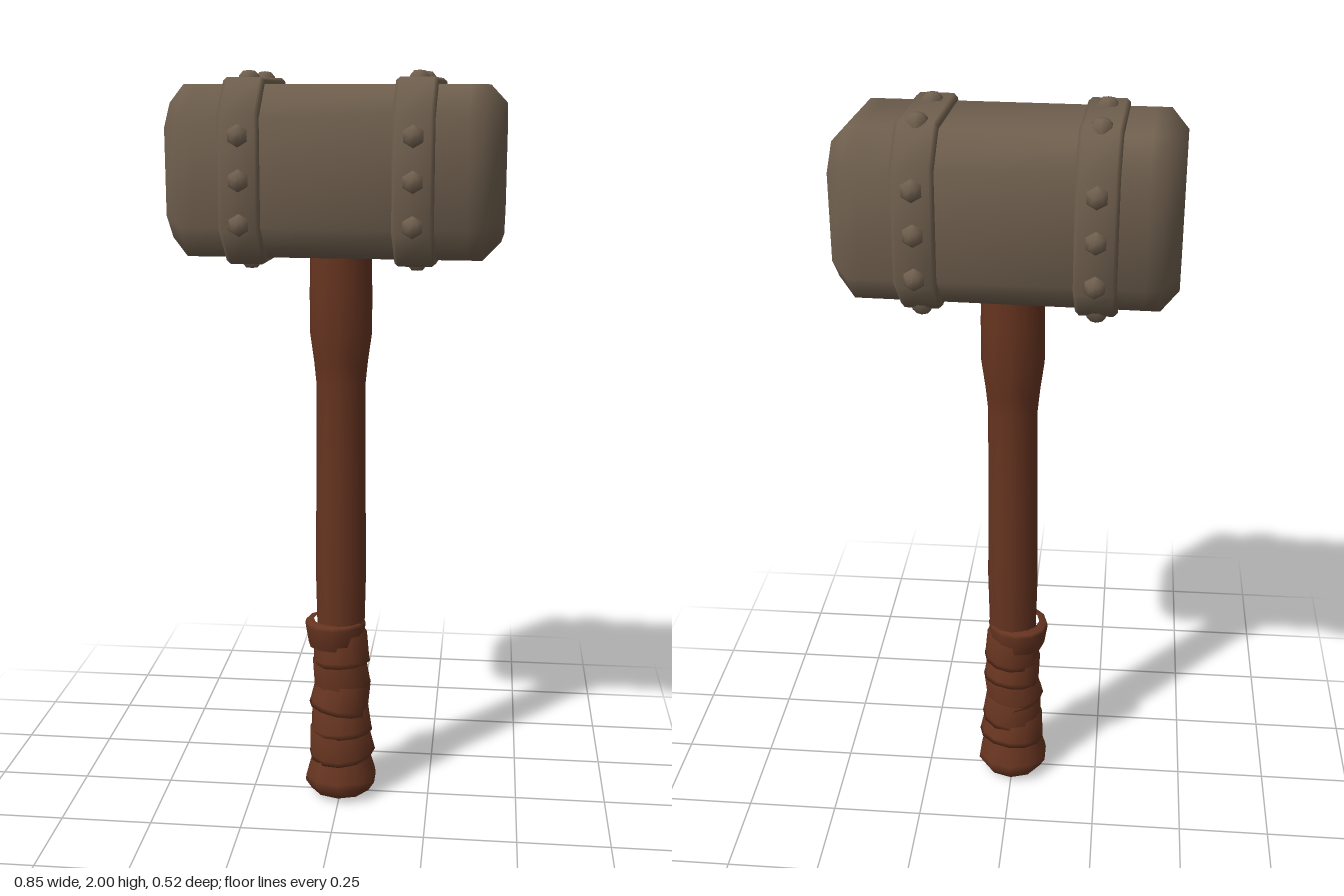
import * as THREE from 'three';

const stone = new THREE.MeshStandardMaterial({ color: 0x6f5f4e });
stone.name = 'greyBrownHead';
const wood = new THREE.MeshStandardMaterial({ color: 0x663420 });
wood.name = 'redBrownHandle';

// Chamfered rectangle in the y-z plane as eight points
function octagon(x, halfY, halfZ, cut) {
  const a = halfY - cut, b = halfZ - cut;
  return [[halfY, -b], [halfY, b], [a, halfZ], [-a, halfZ], [-halfY, b], [-halfY, -b], [-a, -halfZ], [a, -halfZ]]
    .map(([y, z]) => new THREE.Vector3(x, y, z));
}

// Joins cross-sections running along +x, closing both ends
function loft(loops) {
  const n = loops[0].length, last = (loops.length - 1) * n, index = [];
  for (let i = 0; i < loops.length - 1; i++) {
    for (let j = 0; j < n; j++) {
      const a = i * n + j, b = i * n + (j + 1) % n;
      index.push(a, b, a + n, b, b + n, a + n);
    }
  }
  for (let j = 1; j < n - 1; j++) {
    index.push(0, j + 1, j, last, last + j, last + j + 1);
  }
  const g = new THREE.BufferGeometry().setFromPoints(loops.flat());
  g.setIndex(index);
  g.computeVertexNormals();
  return g;
}

function add(parent, name, geometry, material) {
  const mesh = new THREE.Mesh(geometry, material);
  mesh.name = name;
  parent.add(mesh);
  return mesh;
}

function lathe(points, sides) {
  return new THREE.LatheGeometry(points.map(([r, y]) => new THREE.Vector2(r, y)), sides);
}

export function createModel() {
  const model = new THREE.Group();
  model.name = 'mallet';

  // Head, turned slightly on the handle
  const head = new THREE.Group();
  head.name = 'head';
  head.position.y = 1.762;
  head.rotation.y = -0.04;
  model.add(head);
  add(head, 'headBlock', loft([
    octagon(-0.42, 0.14, 0.14, 0.05),
    octagon(-0.42, 0.168, 0.17, 0.06),
    octagon(-0.376, 0.213, 0.218, 0.08),
    octagon(-0.34, 0.213, 0.218, 0.08),
    octagon(0.34, 0.213, 0.218, 0.08),
    octagon(0.376, 0.213, 0.218, 0.08),
    octagon(0.42, 0.168, 0.17, 0.06),
    octagon(0.42, 0.14, 0.14, 0.05),
  ]), stone);

  // Bands with bevelled edges, and their rivets
  const rivetShape = lathe([[0.029, -0.008], [0.027, 0.008], [0.016, 0.02], [0, 0.022]], 6);
  for (const x of [-0.222, 0.208]) {
    add(head, 'band', loft([
      octagon(x - 0.052, 0.205, 0.21, 0.08),
      octagon(x - 0.052, 0.222, 0.222, 0.083),
      octagon(x - 0.042, 0.23, 0.229, 0.085),
      octagon(x + 0.042, 0.23, 0.229, 0.085),
      octagon(x + 0.052, 0.222, 0.222, 0.083),
      octagon(x + 0.052, 0.205, 0.21, 0.08),
    ]), stone);
    for (const side of [1, -1]) {
      for (const y of [-0.125, -0.017, 0.091]) {
        const rivet = add(head, 'sideRivet', rivetShape, stone);
        rivet.position.set(x, y, side * 0.228);
        rivet.rotation.x = side * Math.PI / 2;
      }
      for (const z of [-0.131, 0.074]) {
        const rivet = add(head, 'capRivet', rivetShape, stone);
        rivet.position.set(x, side * 0.226, z);
        if (side < 0) rivet.rotation.x = Math.PI;
      }
    }
  }

  // Handle shaft, swelling below the head
  add(model, 'shaft', lathe([
    [0.06, 0.1], [0.066, 0.5], [0.07, 0.68], [0.067, 0.95], [0.066, 1.2],
    [0.072, 1.26], [0.083, 1.34], [0.083, 1.45], [0.08, 1.58],
  ], 12), wood);

  // Pommel
  add(model, 'pommel', lathe([
    [0, 0.008], [0.06, 0.01], [0.085, 0.022], [0.103, 0.05], [0.1, 0.068], [0.083, 0.125], [0.07, 0.15],
  ], 10), wood);

  // Grip of overlapping, tilted leather turns
  const turns = [[0.17, 0.083, 0.094], [0.235, 0.079, 0.087], [0.305, 0.077, 0.084], [0.375, 0.075, 0.081], [0.445, 0.076, 0.08]];
  turns.forEach(([y, top, bottom], i) => {
    const turn = add(model, 'gripTurn', lathe([
      [0.062, -0.042], [bottom, -0.04], [bottom - 0.002, -0.026], [top, 0.045], [0.06, 0.05],
    ], 12), wood);
    turn.position.y = y;
    turn.rotation.set(0.14 * Math.cos(i * 2.1), 0, 0.17 * Math.sin(i * 2.1 + 0.6));
  });
  add(model, 'gripCollar', lathe([
    [0.062, 0.455], [0.077, 0.46], [0.085, 0.52], [0.081, 0.53], [0.06, 0.532],
  ], 12), wood).rotation.z = 0.03;

  return model;
}
